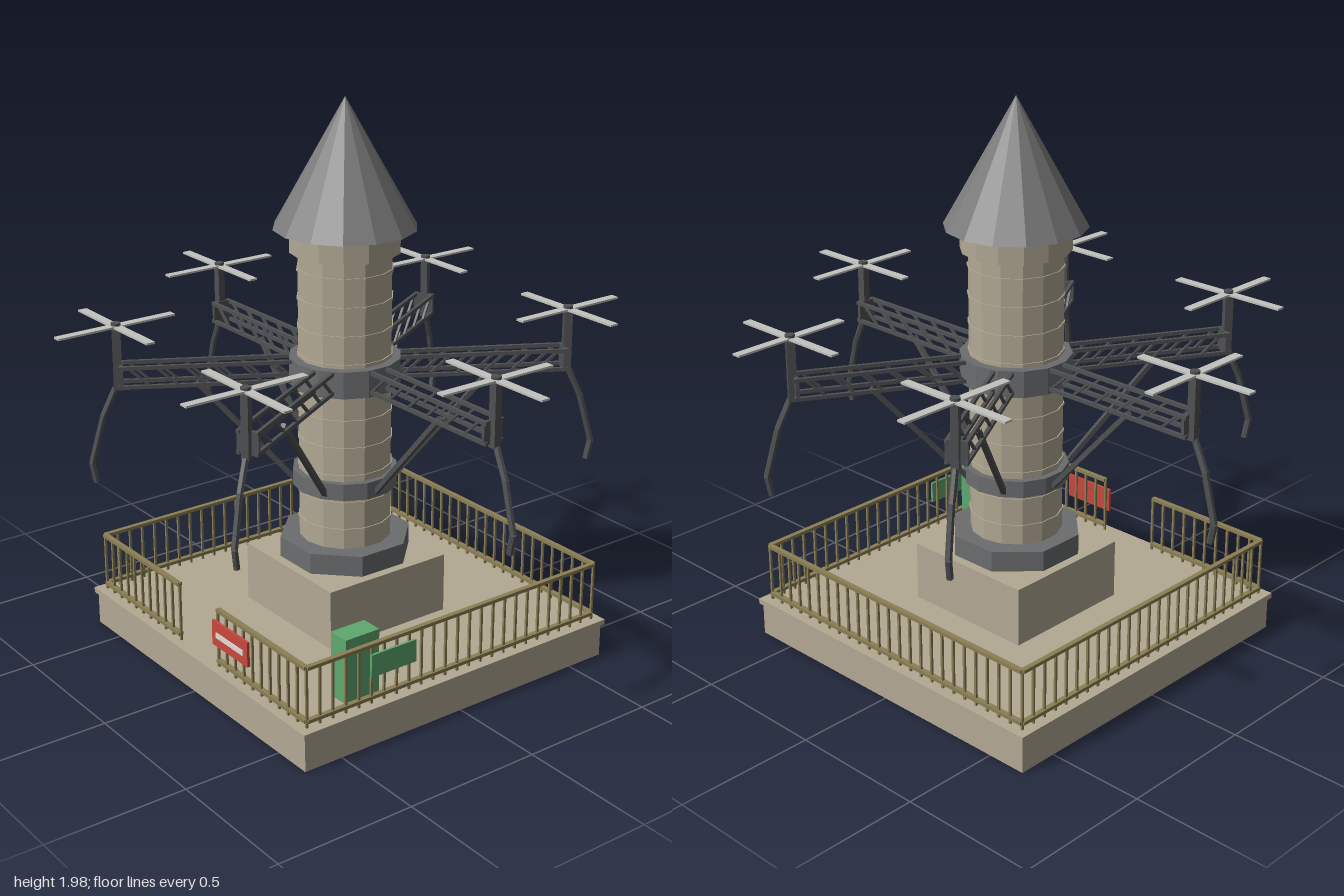
import * as THREE from 'three';

const mat = (name, color, extra = {}) => {
  const m = new THREE.MeshStandardMaterial({ color, ...extra });
  m.name = name;
  return m;
};

export function createModel() {
  const stone = mat('stone', 0xb3a994);
  const slate = mat('roof grey', 0x7b7b7b);
  const iron = mat('dark iron', 0x505153);
  const steel = mat('band steel', 0x6b6d6f);
  const blade = mat('blade grey', 0xc2c3bf);
  const brass = mat('railing brass', 0x8c7f55);
  const green = mat('green', 0x5fa870);
  const red = mat('red', 0xc8483e);
  const white = mat('white', 0xe4dcd6);
  [stone, slate, iron, steel].forEach((m) => { m.flatShading = true; });

  const model = new THREE.Group();
  model.name = 'rotorTower';

  const add = (parent, name, geo, material, x = 0, y = 0, z = 0) => {
    const mesh = new THREE.Mesh(geo, material);
    mesh.name = name;
    mesh.position.set(x, y, z);
    parent.add(mesh);
    return mesh;
  };
  const box = (parent, name, material, w, h, d, x, y, z) =>
    add(parent, name, new THREE.BoxGeometry(w, h, d), material, x, y, z);
  // upright prism between two heights
  const drum = (name, material, rTop, rBottom, y0, y1, sides = 14) =>
    add(model, name, new THREE.CylinderGeometry(rTop, rBottom, y1 - y0, sides), material, 0, (y0 + y1) / 2, 0);
  // square or round bar between two points
  const bar = (parent, name, material, a, b, r, sides = 4) => {
    const p = new THREE.Vector3(...a), q = new THREE.Vector3(...b);
    const dir = q.clone().sub(p);
    const geo = new THREE.CylinderGeometry(r, r, dir.length(), sides);
    if (sides === 4) geo.rotateY(Math.PI / 4);
    const mesh = add(parent, name, geo, material);
    mesh.position.copy(p).add(q).multiplyScalar(0.5);
    mesh.quaternion.setFromUnitVectors(new THREE.Vector3(0, 1, 0), dir.normalize());
    return mesh;
  };

  // base slab with lip, and plinth
  box(model, 'baseSlab', stone, 1.29, 0.12, 1.29, 0, 0.06, 0);
  box(model, 'baseLip', stone, 1.31, 0.02, 1.31, 0, 0.13, 0);
  box(model, 'plinth', stone, 0.5, 0.215, 0.5, 0, 0.2475, 0);

  // tower
  drum('footCollar', steel, 0.235, 0.235, 0.355, 0.43, 8).rotation.y = Math.PI / 8;
  drum('column', stone, 0.163, 0.163, 0.43, 1.46);
  for (let y = 0.5; y < 1.45; y += 0.1) drum('stoneCourse', stone, 0.167, 0.167, y - 0.005, y + 0.005);
  drum('lowerBand', steel, 0.185, 0.185, 0.62, 0.68);
  drum('armBand', steel, 0.195, 0.195, 0.995, 1.09);
  drum('cornice', stone, 0.191, 0.191, 1.46, 1.54);
  add(model, 'roof', new THREE.ConeGeometry(0.246, 0.44, 14), slate, 0, 1.76, 0);

  // six truss arms, each built along +x and turned
  const reach = 0.775;
  const legPath = [[0.785, 1.0, 0], [0.83, 0.9, 0], [0.875, 0.73, 0], [0.862, 0.66, 0]];
  for (let i = 0; i < 6; i++) {
    const angle = i * Math.PI / 3;
    const arm = new THREE.Group();
    arm.name = 'arm';
    arm.rotation.y = angle;
    model.add(arm);
    for (const z of [-0.032, 0.032]) {
      for (const y of [1.012, 1.08])
        box(arm, 'armRail', iron, reach - 0.15, 0.013, 0.012, (reach + 0.15) / 2, y, z);
      for (let k = 0; k < 6; k++) {
        const x = 0.19 + k * 0.095;
        bar(arm, 'armBrace', iron, [x, 1.012, z], [x + 0.075, 1.08, z], 0.006);
      }
    }
    box(arm, 'armEndPlate', iron, 0.012, 0.08, 0.076, reach - 0.012, 1.046, 0);
    box(arm, 'rotorPost', iron, 0.03, 0.22, 0.026, reach, 1.105, 0);
    bar(arm, 'armStrut', iron, [0.17, 0.63, 0], [0.51, 1.01, 0], 0.012);
    for (let k = 0; k < 3; k++) bar(arm, 'hangingLeg', iron, legPath[k], legPath[k + 1], 0.012, 6);

    // crossed rotor blades stay square to the base
    const rotor = new THREE.Group();
    rotor.name = 'rotor';
    rotor.position.set(Math.cos(angle) * reach, 1.22, -Math.sin(angle) * reach);
    model.add(rotor);
    add(rotor, 'rotorHub', new THREE.CylinderGeometry(0.017, 0.017, 0.026, 10), iron);
    box(rotor, 'bladePair', blade, 0.45, 0.007, 0.032, 0, 0, 0);
    box(rotor, 'bladePair', blade, 0.032, 0.007, 0.45, 0, 0.001, 0);
  }

  // railings: from one end to the other along x, turned to each side
  const railing = (turn, x0, x1) => {
    const side = new THREE.Group();
    side.name = 'railing';
    side.rotation.y = turn;
    model.add(side);
    for (const y of [0.163, 0.352])
      box(side, 'handRail', brass, x1 - x0, 0.012, 0.018, (x0 + x1) / 2, y, 0.62);
    const n = Math.round((x1 - x0) / 0.052);
    for (let k = 0; k <= n; k++)
      box(side, 'railPost', brass, 0.008, 0.215, 0.008, x0 + (x1 - x0) * k / n, 0.2475, 0.62);
  };
  railing(0, -0.62, -0.118);
  railing(0, 0.118, 0.62);
  for (let k = 1; k < 4; k++) railing(k * Math.PI / 2, -0.62, 0.62);

  // cabinet and signs
  box(model, 'cabinet', green, 0.08, 0.232, 0.135, 0.54, 0.256, 0.367);
  box(model, 'greenSign', green, 0.009, 0.08, 0.185, 0.628, 0.28, 0.278);
  box(model, 'redSign', red, 0.208, 0.09, 0.01, 0.206, 0.268, 0.629);
  box(model, 'signStripe', white, 0.16, 0.02, 0.004, 0.208, 0.266, 0.635);

  return model;
}
